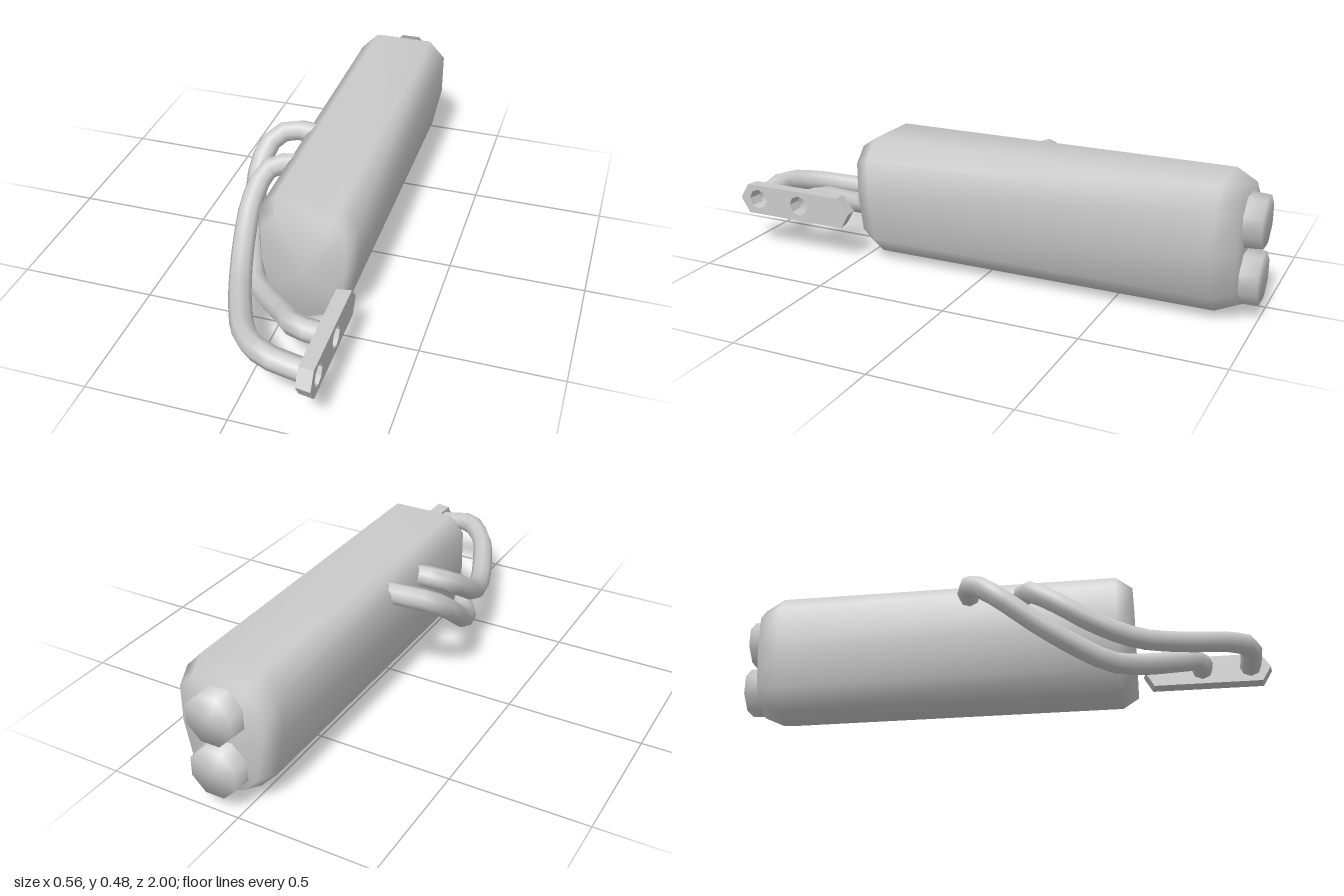
import * as THREE from 'three';

const grey = () => new THREE.MeshStandardMaterial({ color: 0xcccccc, side: THREE.DoubleSide });

function addPart(group, name, geometry) {
  const mesh = new THREE.Mesh(geometry, grey());
  mesh.name = name;
  group.add(mesh);
  return mesh;
}

// Closed body lofted along z from one outline, with bevelled, smoothly shaded ends
function bodyGeometry() {
  const cx = 0.085, cy = 0.24;
  const outline = [
    [0.2, 0.485], [-0.03, 0.485], [-0.092, 0.42], [-0.092, 0.265], [-0.06, 0.1], [0.005, 0.032],
    [0.085, 0.002], [0.167, 0.032], [0.23, 0.1], [0.262, 0.265], [0.262, 0.42],
  ];
  const rings = [[0.49, 0.84], [0.43, 1], [-0.86, 1], [-0.937, 0.85]]; // z, scale
  const n = outline.length, pos = [], idx = [];
  for (const [z, s] of rings)
    for (const [x, y] of outline) pos.push(cx + (x - cx) * s, cy + (y - cy) * s, z);
  const front = rings.length * n, back = front + 1, last = (rings.length - 1) * n;
  pos.push(cx, cy, rings[0][0], cx, cy, rings[rings.length - 1][0]);
  for (let i = 0; i < n; i++) {
    const j = (i + 1) % n;
    for (let r = 0; r < rings.length - 1; r++) {
      const a = r * n, b = a + n;
      idx.push(a + i, b + i, b + j, a + i, b + j, a + j);
    }
    idx.push(front, i, j, back, last + j, last + i);
  }
  const g = new THREE.BufferGeometry();
  g.setAttribute('position', new THREE.Float32BufferAttribute(pos, 3));
  g.setIndex(idx);
  g.computeVertexNormals();
  return g;
}

// Elongated six-sided plate with two round ports, slightly narrower on its inner face
function flangeGeometry() {
  const cz = 0.755, cy = 0.198, depth = 0.052;
  const shape = new THREE.Shape([
    [0.245, 0], [0.21, 0.058], [-0.195, 0.058], [-0.243, 0], [-0.21, -0.058], [0.21, -0.058],
  ].map(([x, y]) => new THREE.Vector2(x, y)));
  for (const z of [0.165, -0.02]) {
    const hole = new THREE.Path();
    hole.absarc(z, 0.002, 0.039, 0, Math.PI * 2, true);
    shape.holes.push(hole);
  }
  const g = new THREE.ExtrudeGeometry(shape, { depth, bevelEnabled: false, curveSegments: 4 });
  const p = g.attributes.position;
  for (let i = 0; i < p.count; i++)
    if (p.getZ(i) > depth / 2) p.setXY(i, p.getX(i) * 0.97, p.getY(i) * 0.95);
  g.rotateY(-Math.PI / 2).translate(0.277, cy, cz);
  g.computeVertexNormals();
  return g;
}

function pipeGeometry(points) {
  const curve = new THREE.CatmullRomCurve3(points.map((p) => new THREE.Vector3(...p)));
  return new THREE.TubeGeometry(curve, 20, 0.04, 8, false);
}

export function createModel() {
  const group = new THREE.Group();
  group.name = 'exhaust';

  addPart(group, 'mufflerBody', bodyGeometry());

  // Two stacked outlets at the back
  for (const [name, y] of [['upperOutlet', 0.346], ['lowerOutlet', 0.145]]) {
    const profile = [[0.098, 0], [0.092, 0.1], [0, 0.1]].map(([x, h]) => new THREE.Vector2(x, h));
    const g = new THREE.LatheGeometry(profile, 8, Math.PI / 8);
    g.rotateX(-Math.PI / 2);
    addPart(group, name, g).position.set(0.085, y, -0.9);
  }

  addPart(group, 'flange', flangeGeometry());

  // Header pipes run from the flange ports, around the side and into the body
  addPart(group, 'frontPipe', pipeGeometry([
    [0.24, 0.2, 0.917], [0.1, 0.225, 0.91], [0, 0.207, 0.82], [-0.08, 0.18, 0.66], [-0.14, 0.178, 0.5],
    [-0.18, 0.23, 0.35], [-0.195, 0.31, 0.22], [-0.17, 0.375, 0.12], [-0.1, 0.395, 0.085], [-0.06, 0.395, 0.08],
  ]));
  addPart(group, 'rearPipe', pipeGeometry([
    [0.24, 0.2, 0.735], [0.14, 0.2, 0.725], [0.06, 0.165, 0.63], [-0.05, 0.115, 0.5], [-0.13, 0.097, 0.4],
    [-0.185, 0.15, 0.27], [-0.22, 0.23, 0.14], [-0.24, 0.335, 0], [-0.21, 0.395, -0.08],
    [-0.15, 0.413, -0.115], [-0.06, 0.41, -0.115],
  ]));

  return group;
}
